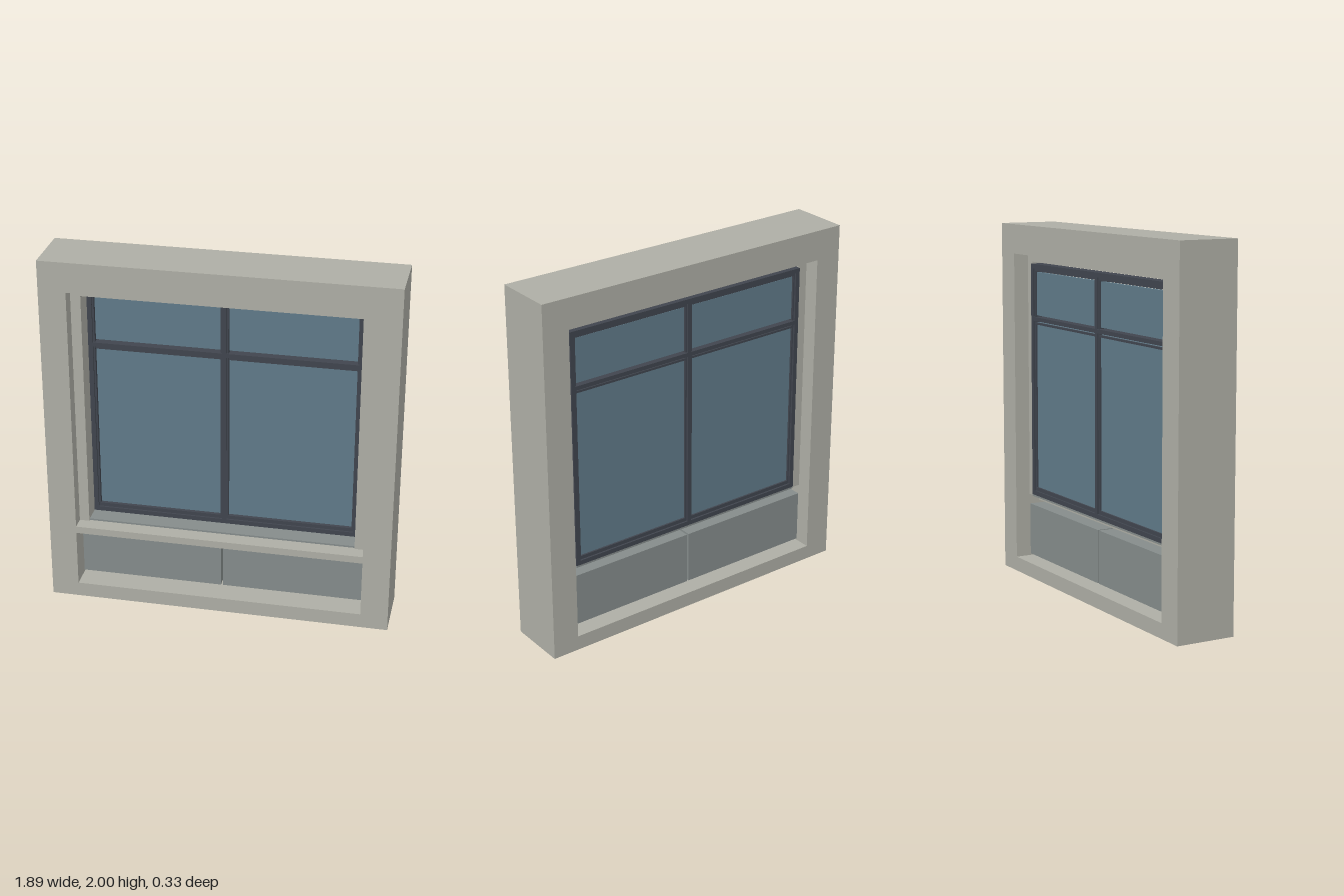
import * as THREE from 'three';

const material = (name, color) => {
  const m = new THREE.MeshStandardMaterial({ color });
  m.name = name;
  return m;
};

export function createModel() {
  const stone = material('warm grey surround', 0xaeaea5);
  const dark = material('dark frame', 0x40454e);
  const glass = material('blue glass', 0x607a89);
  const panel = material('grey panel', 0x858c8b);
  const model = new THREE.Group();
  model.name = 'window';

  // Box given by its extents on each axis
  const box = (name, mat, x0, x1, y0, y1, z0, z1, parent = model) => {
    const mesh = new THREE.Mesh(new THREE.BoxGeometry(x1 - x0, y1 - y0, z1 - z0), mat);
    mesh.position.set((x0 + x1) / 2, (y0 + y1) / 2, (z0 + z1) / 2);
    mesh.name = name;
    parent.add(mesh);
    return mesh;
  };
  // The same box on both sides of the centre
  const pair = (name, mat, x0, x1, ...rest) => {
    box(name + 'Left', mat, x0, x1, ...rest);
    box(name + 'Right', mat, -x1, -x0, ...rest);
  };
  // Rectangular ring extruded along z
  const ring = (name, mat, x0, x1, y0, y1, w, z0, z1) => {
    const rect = (P, d) => {
      const p = new P();
      p.moveTo(x0 + d, y0 + d);
      p.lineTo(x1 - d, y0 + d);
      p.lineTo(x1 - d, y1 - d);
      p.lineTo(x0 + d, y1 - d);
      p.closePath();
      return p;
    };
    const shape = rect(THREE.Shape, 0);
    shape.holes.push(rect(THREE.Path, w));
    const geo = new THREE.ExtrudeGeometry(shape, { depth: z1 - z0, bevelEnabled: false });
    const mesh = new THREE.Mesh(geo, mat);
    mesh.position.z = z0;
    mesh.name = name;
    model.add(mesh);
  };

  // Heavy outer surround
  pair('post', stone, 0.795, 0.945, 0, 2, -0.167, 0.167);
  box('lintel', stone, -0.795, 0.795, 1.835, 2, -0.167, 0.167);
  box('baseBeam', stone, -0.795, 0.795, 0, 0.082, -0.167, 0.167);
  box('sill', stone, -0.795, 0.795, 0.405, 0.445, -0.02, 0.167);

  // Inner lining around the window
  pair('sideLining', stone, 0.74, 0.795, 0.445, 1.823, -0.08, 0.09);
  box('headLining', stone, -0.74, 0.74, 1.79, 1.833, -0.08, 0.09);
  box('sillFlashing', panel, -0.74, 0.74, 0.445, 0.455, -0.09, 0.08);

  // Lower infill panels with a narrow joint between them
  pair('lowerPanel', panel, 0.006, 0.795, 0.092, 0.388, -0.076, 0.04);

  // Window frame, mullion and transom
  ring('outerFrame', dark, -0.74, 0.74, 0.455, 1.78, 0.025, -0.09, -0.02);
  box('mullion', dark, -0.012, 0.012, 0.48, 1.755, -0.09, -0.02);
  pair('transom', dark, 0.012, 0.715, 1.459, 1.481, -0.09, -0.02);

  // Sash beads and glass in each opening
  for (const side of [-1, 1]) {
    const x0 = side > 0 ? 0.012 : -0.715;
    const x1 = side > 0 ? 0.715 : -0.012;
    pairOfBeads(x0, x1);
    box('lowerGlass', glass, x0 + 0.008, x1 - 0.008, 0.495, 1.451, -0.07, -0.05);
    box('upperGlass', glass, x0 + 0.008, x1 - 0.008, 1.489, 1.733, -0.07, -0.05);
  }
  function pairOfBeads(x0, x1) {
    for (const [a, b] of [[x0, x0 + 0.01], [x1 - 0.01, x1]])
      box('sideBead', dark, a, b, 0.48, 1.755, -0.08, -0.03);
    box('bottomBead', dark, x0 + 0.01, x1 - 0.01, 0.48, 0.5, -0.08, -0.03);
    box('topBead', dark, x0 + 0.01, x1 - 0.01, 1.739, 1.755, -0.08, -0.03);
    // Slim bars across the opening, clear of the transom
    box('lowerGlazingBar', dark, x0 + 0.01, x1 - 0.01, 1.438, 1.45, -0.08, -0.04);
  }
  return model;
}
